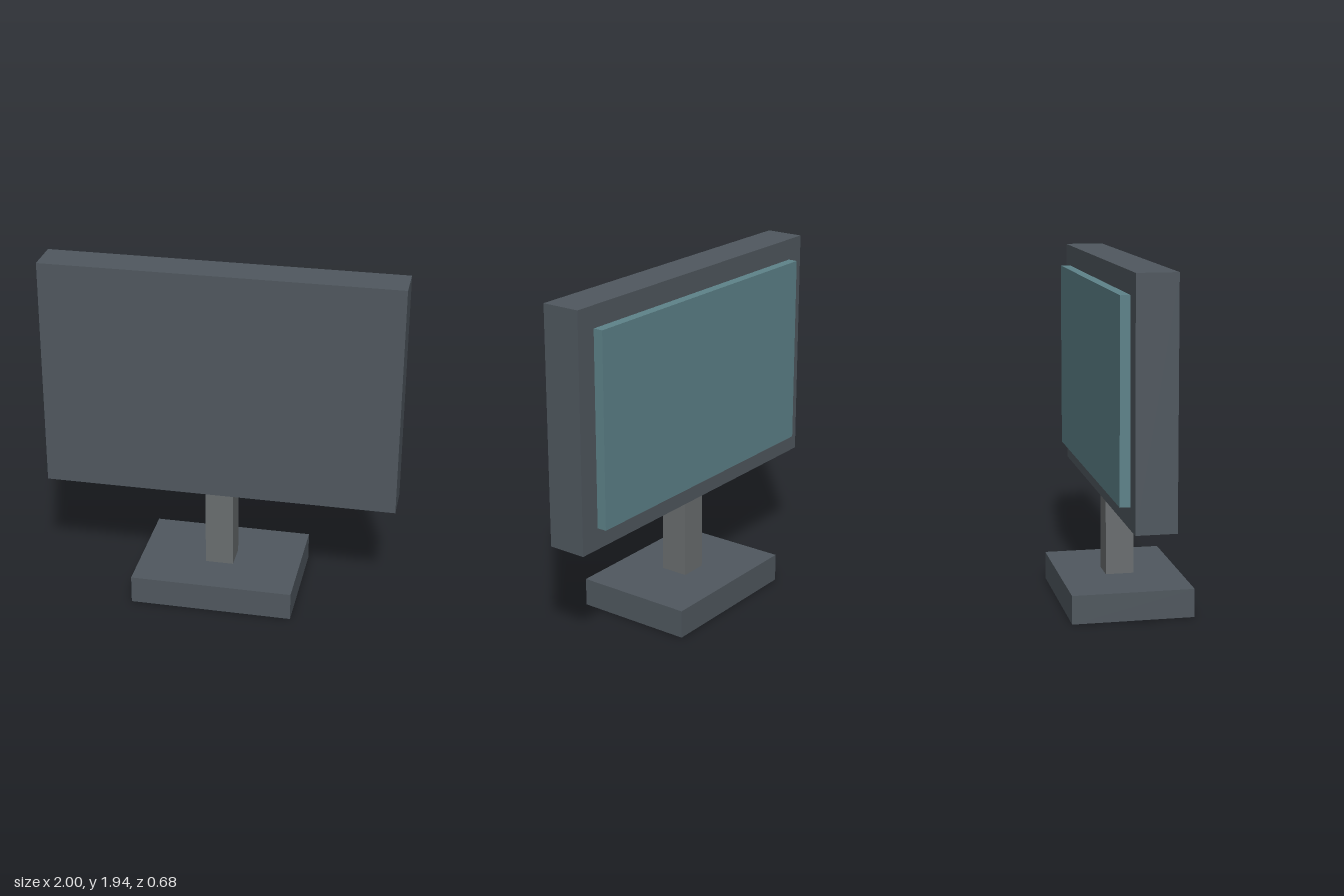
import * as THREE from 'three';

const paint = (color) => new THREE.MeshStandardMaterial({ color });

// Box given by its size and the height of its underside
function box(name, material, [w, h, d], bottom, z = 0) {
  const mesh = new THREE.Mesh(new THREE.BoxGeometry(w, h, d), material);
  mesh.name = name;
  mesh.position.set(0, bottom + h / 2, z);
  return mesh;
}

export function createModel() {
  const group = new THREE.Group();
  group.name = 'monitor';
  const dark = paint(0x50585f);
  const grey = paint(0x6a6e70);
  const teal = paint(0x5e838a);

  group.add(
    // Stand
    box('base', dark, [0.92, 0.16, 0.68], 0),
    box('post', grey, [0.16, 0.46, 0.16], 0.16),
    // Housing, with the raised screen on its -z side
    box('housing', dark, [2, 1.32, 0.22], 0.62),
    box('screen', teal, [1.76, 1.08, 0.055], 0.74, -0.1375),
  );
  return group;
}
